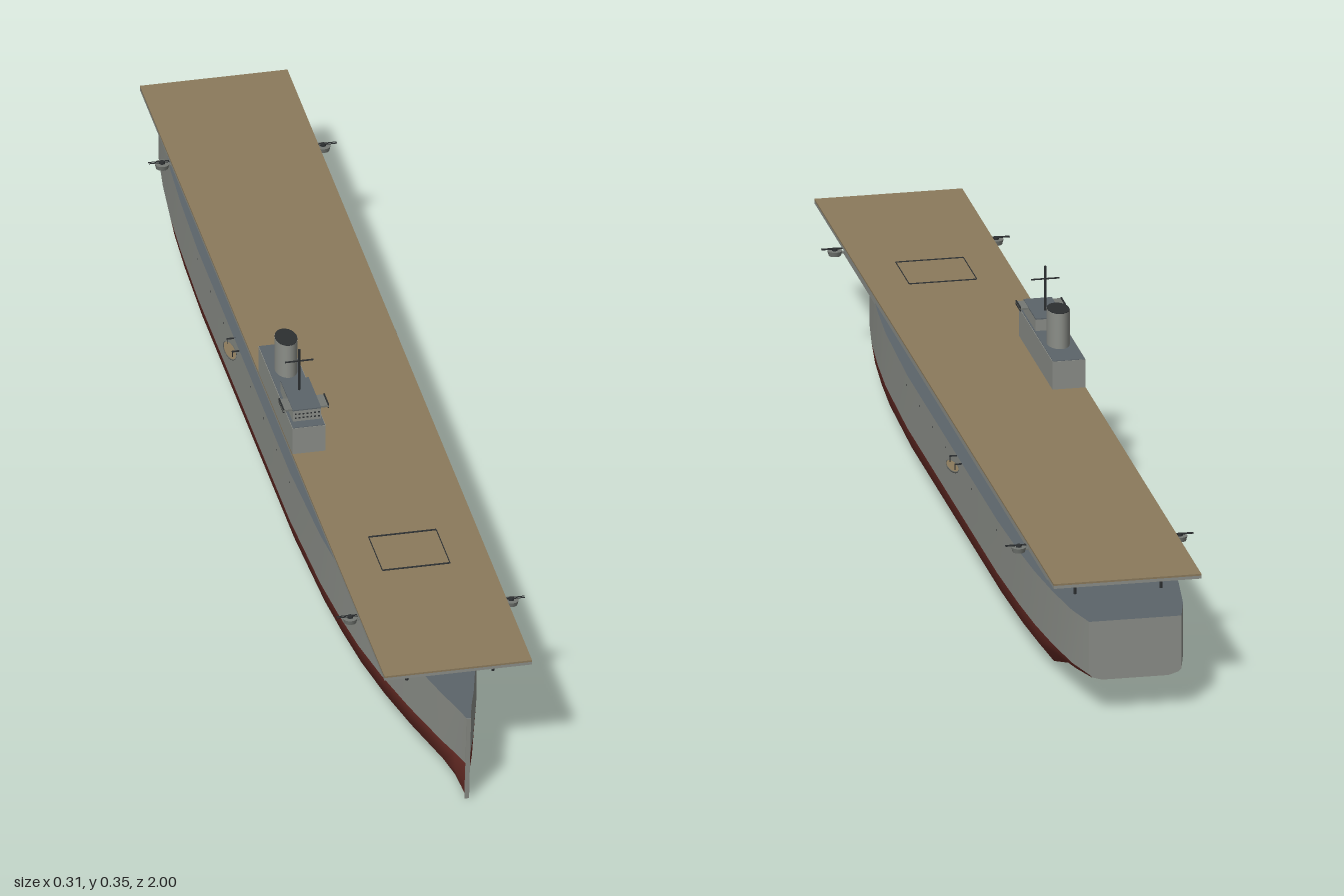
import * as THREE from 'three';

const mat = (name, color, side = THREE.FrontSide) => {
  const m = new THREE.MeshStandardMaterial({ color, side });
  m.name = name;
  return m;
};

export function createModel() {
  const ship = new THREE.Group();
  ship.name = 'carrier';
  const grey = mat('hullGrey', 0x8b8e88);
  const red = mat('antifoulingRed', 0x6e2f28);
  const tan = mat('deckTan', 0x8b7a5c);
  const slate = mat('steelDeck', 0x5c646a);
  const dark = mat('darkMetal', 0x2c2f31);
  const boatGrey = mat('fittingGrey', 0x747873, THREE.DoubleSide);

  const add = (name, geo, material, x = 0, y = 0, z = 0, parent = ship) => {
    const m = new THREE.Mesh(geo, material);
    m.name = name;
    m.position.set(x, y, z);
    parent.add(m);
    return m;
  };
  // box given by its extents
  const block = (name, material, x0, x1, y0, y1, z0, z1) =>
    add(name, new THREE.BoxGeometry(x1 - x0, y1 - y0, z1 - z0), material,
      (x0 + x1) / 2, (y0 + y1) / 2, (z0 + z1) / 2);

  // hull stations: z, half beam, keel height
  const WL = 0.068, TOP = 0.157;
  const stations = [
    [1, 0.003, 0.001], [0.96, 0.013, 0.001], [0.92, 0.025, 0.001], [0.8, 0.055, 0.002],
    [0.7, 0.077, 0.002], [0.6, 0.094, 0.002], [0.5, 0.105, 0.002], [0.4, 0.113, 0.002],
    [0.2, 0.12, 0.002], [0, 0.12, 0.002], [-0.25, 0.12, 0.002], [-0.5, 0.12, 0.002],
    [-0.65, 0.116, 0.002], [-0.75, 0.111, 0.004], [-0.85, 0.102, 0.035],
    [-0.94, 0.09, 0.05], [-1, 0.075, 0.058],
  ];
  const bilge = ([z, w, k]) => {
    const full = 0.72 * Math.min(1, Math.max(0.15, (1.05 - z) / 0.75));
    const mid = k + (WL - k) * 0.5;
    return [[w, WL], [w * 0.94, mid], [w * full, k], [0, k], [-w * full, k], [-w * 0.94, mid], [-w, WL]];
  };

  // skin stretched over one cross-section per station
  const loft = (section) => {
    const pos = [], idx = [];
    const n = section(stations[0]).length;
    stations.forEach((s, r) => {
      const rake = Math.max(0, (s[0] - 0.8) / 0.2) * 0.015;
      for (const [x, y] of section(s)) pos.push(x, y, s[0] - rake * (TOP - y) / TOP);
      if (r === stations.length - 1) return;
      for (let i = 0; i < n - 1; i++) {
        const a = r * n + i, c = a + n;
        idx.push(a, a + 1, c, a + 1, c + 1, c);
      }
    });
    const g = new THREE.BufferGeometry();
    g.setAttribute('position', new THREE.Float32BufferAttribute(pos, 3));
    g.setIndex(idx);
    g.computeVertexNormals();
    return g;
  };
  add('lowerHull', loft(bilge), red);
  add('hullSideLeft', loft(([, w]) => [[w, TOP], [w, WL]]), grey);
  add('hullSideRight', loft(([, w]) => [[-w, WL], [-w, TOP]]), grey);
  add('mainDeck', loft(([, w]) => [[-w, TOP], [w, TOP]]), slate);

  // flat transom
  const stern = stations[stations.length - 1];
  const outline = [[stern[1], TOP], ...bilge(stern), [-stern[1], TOP]];
  add('transom', new THREE.ShapeGeometry(new THREE.Shape(outline.map(([x, y]) => new THREE.Vector2(x, y)))),
    grey, 0, 0, -1).rotation.y = Math.PI;

  // stem bar
  const stem = add('stem', new THREE.BoxGeometry(0.007, TOP, 0.004), grey, 0, TOP / 2, 0.991);
  stem.rotation.x = Math.atan(0.015 / TOP);

  // hangar and flight deck
  block('hangar', grey, -0.1, 0.1, 0.154, 0.196, -0.79, 0.79);
  block('flightDeckSlab', grey, -0.12, 0.12, 0.195, 0.2, -0.94, 0.92);
  block('flightDeckPlanking', tan, -0.12, 0.12, 0.2, 0.203, -0.94, 0.92);
  for (const z of [0.495, 0.6]) block('liftSeam', dark, -0.055, 0.055, 0.2025, 0.2036, z - 0.002, z + 0.002);
  for (const x of [-0.055, 0.055]) block('liftSeam', dark, x - 0.0008, x + 0.0008, 0.2025, 0.2034, 0.495, 0.6);

  const post = (name, r, h, x, y, z, m = dark) =>
    add(name, new THREE.CylinderGeometry(r, r, h, 8), m, x, y + h / 2, z);
  for (const s of [-1, 1]) {
    // deck supports
    post('bowPillar', 0.0025, 0.045, s * 0.07, 0.152, 0.855);
    post('sternPillar', 0.0025, 0.045, s * 0.07, 0.152, -0.865);

    // gun tubs
    for (const z of [0.71, -0.72]) {
      const gun = new THREE.Group();
      gun.name = 'gunMount';
      gun.position.set(s * 0.131, 0.182, z);
      ship.add(gun);
      add('tub', new THREE.CylinderGeometry(0.012, 0.01, 0.008, 14), boatGrey, 0, 0.004, 0, gun);
      add('mounting', new THREE.CylinderGeometry(0.004, 0.005, 0.005, 8), dark, 0, 0.0095, 0, gun);
      add('bracket', new THREE.BoxGeometry(0.032, 0.002, 0.006), boatGrey, -s * 0.018, 0.004, 0, gun);
      const barrel = new THREE.CylinderGeometry(0.0008, 0.0008, 0.034, 6).rotateZ(Math.PI / 2);
      for (const dz of [-0.002, 0.002]) add('barrel', barrel, dark, s * 0.005, 0.011, dz, gun);
    }

    // ship's boats hung from davits
    const hullGeo = new THREE.SphereGeometry(1, 16, 6, 0, Math.PI * 2, Math.PI / 2, Math.PI / 2);
    add('boat', hullGeo, boatGrey, s * 0.131, 0.147, -0.205).scale.set(0.009, 0.008, 0.03);
    add('boatCover', new THREE.CircleGeometry(1, 16).rotateX(-Math.PI / 2), tan, s * 0.131, 0.1465, -0.205)
      .scale.set(0.008, 1, 0.028);
    for (const z of [-0.225, -0.185]) {
      block('davitArm', dark, s * 0.125 - 0.007, s * 0.125 + 0.007, 0.155, 0.157, z - 0.001, z + 0.001);
      post('davitFall', 0.0007, 0.011, s * 0.131, 0.145, z);
    }

    // portholes amidships
    const hole = new THREE.CircleGeometry(0.002, 8).rotateY(s * Math.PI / 2);
    for (let i = 0; i < 8; i++) add('porthole', hole, dark, s * 0.1205, 0.14, 0.2 - i * 0.1);
  }

  // island superstructure
  const X = -0.092;
  block('island', grey, -0.12, -0.066, 0.202, 0.25, -0.04, 0.22);
  block('islandRoof', slate, -0.119, -0.067, 0.25, 0.251, -0.039, 0.219);
  block('bridge', grey, -0.115, -0.069, 0.25, 0.27, 0.105, 0.2);
  block('bridgeRoof', slate, -0.115, -0.069, 0.27, 0.272, 0.105, 0.2);
  block('bridgeWings', boatGrey, -0.13, -0.055, 0.268, 0.271, 0.16, 0.195);
  for (const x of [-0.129, -0.056]) block('wingRail', dark, x - 0.001, x + 0.001, 0.266, 0.273, 0.16, 0.195);
  for (const y of [0.257, 0.264]) {
    for (let i = 0; i < 7; i++)
      block('bridgeWindow', dark, X - 0.02 + i * 0.0063, X - 0.017 + i * 0.0063, y - 0.0012, y + 0.0012, 0.2, 0.2006);
  }

  // oval funnel with a dark mouth
  const funnel = new THREE.Group();
  funnel.name = 'funnel';
  funnel.position.set(X, 0.25, 0.04);
  funnel.scale.set(0.018, 1, 0.027);
  ship.add(funnel);
  add('casing', new THREE.CylinderGeometry(1, 1, 0.06, 24), grey, 0, 0.03, 0, funnel);
  add('mouth', new THREE.CylinderGeometry(0.98, 0.98, 0.002, 24), dark, 0, 0.06, 0, funnel);

  // mast and yard
  post('mast', 0.0018, 0.076, X, 0.271, 0.14);
  block('yard', dark, X - 0.023, X + 0.023, 0.3245, 0.3265, 0.139, 0.141);
  return ship;
}
